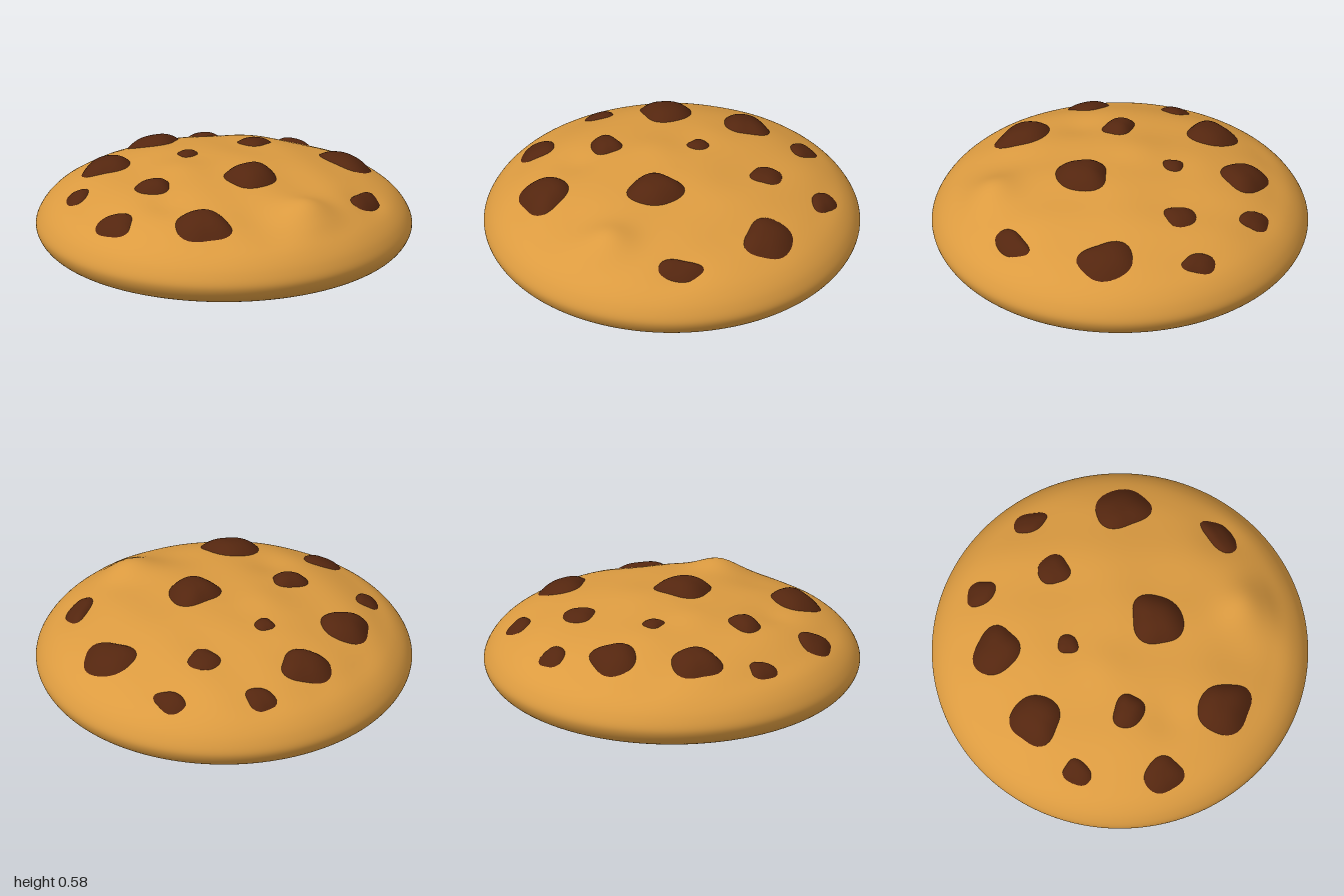
import * as THREE from 'three';
import { mergeVertices } from 'three/addons/utils/BufferGeometryUtils.js';

// Half outline of the dough, from the underside centre round the rim to the top
const outline = new THREE.CatmullRomCurve3([
  [0, 0.06], [0.4, 0.06], [0.76, 0.06], [0.9, 0.088], [0.97, 0.135], [1, 0.2], [0.975, 0.27],
  [0.91, 0.34], [0.8, 0.4], [0.68, 0.445], [0.5, 0.485], [0.25, 0.515], [0, 0.522],
].map(([x, y]) => new THREE.Vector3(x, y, 0)), false, 'centripetal').getPoints(110)
  .map((p) => new THREE.Vector2(Math.max(p.x, 0), p.y));

// Chips: x, z, half width, half depth, height, tilt of the outline
const chips = [
  [-0.28, -0.73, 0.085, 0.07, 0.03, 0.2],
  [0.2, -0.79, 0.095, 0.062, 0.03, 0.5],
  [-0.49, -0.45, 0.135, 0.118, 0.05, -0.3],
  [0.05, -0.5, 0.088, 0.088, 0.03, 0.4],
  [0.565, -0.455, 0.15, 0.122, 0.045, 0.6],
  [-0.655, -0.04, 0.128, 0.134, 0.055, 0.3],
  [-0.235, -0.165, 0.055, 0.06, 0.025, 0],
  [0.175, 0.11, 0.132, 0.146, 0.062, 0.2],
  [0.78, 0.04, 0.065, 0.122, 0.035, 0.15],
  [-0.73, 0.31, 0.062, 0.08, 0.03, -0.2],
  [-0.315, 0.32, 0.095, 0.08, 0.045, -0.2],
  [-0.445, 0.67, 0.108, 0.088, 0.035, 0.5],
  [0.04, 0.69, 0.152, 0.126, 0.055, 0.15],
];

// Mounds and hollows in the top: x, z, radius, height
const lumps = [
  [0.57, 0.4, 0.2, 0.065], [0.3, 0.55, 0.22, -0.015], [-0.2, 0.5, 0.16, -0.015],
  [0.17, -0.15, 0.25, 0.012], [-0.2, 0.05, 0.2, 0.014], [-0.35, -0.25, 0.2, 0.012], [0.78, 0.04, 0.15, -0.012],
];

function lumpiness(x, z) {
  let d = 0.004 * Math.sin(9 * x + 2) * Math.cos(8 * z) + 0.003 * Math.sin(14 * x - 11 * z);
  for (const [lx, lz, r, h] of lumps) d += h * Math.exp(-2 * ((x - lx) ** 2 + (z - lz) ** 2) / (r * r));
  return d * (1 - THREE.MathUtils.smoothstep(Math.hypot(x, z), 0.8, 0.97));
}

// Height of the dough's upper surface
function topHeight(x, z) {
  const r = Math.hypot(x, z);
  for (let i = outline.length - 1; i > 0; i--) {
    const a = outline[i], b = outline[i - 1];
    if (r <= b.x) return THREE.MathUtils.mapLinear(r, a.x, b.x, a.y, b.y) + lumpiness(x, z);
  }
  return 0.2;
}

// A round patch: place(angle, t) gives a point, t running from centre 0 to edge 1
function patch(place, rings, segments, faceDown = false) {
  const pos = [...place(0, 0)], index = [];
  const at = (r, s) => (r === 0 ? 0 : 1 + (r - 1) * segments + (s % segments));
  const face = (a, b, c) => index.push(...(faceDown ? [a, c, b] : [a, b, c]));
  for (let r = 1; r <= rings; r++) {
    for (let s = 0; s < segments; s++) {
      pos.push(...place((s / segments) * Math.PI * 2, r / rings));
      face(at(r - 1, s), at(r, s + 1), at(r, s));
      if (r > 1) face(at(r - 1, s), at(r - 1, s + 1), at(r, s + 1));
    }
  }
  const g = new THREE.BufferGeometry();
  g.setAttribute('position', new THREE.Float32BufferAttribute(pos, 3));
  g.setIndex(index);
  g.computeVertexNormals();
  return g;
}

function doughGeometry() {
  let g = new THREE.LatheGeometry(outline, 128);
  const p = g.attributes.position;
  for (let i = 0; i < p.count; i++) {
    if (p.getY(i) > 0.2) p.setY(i, p.getY(i) + lumpiness(p.getX(i), p.getZ(i)));
  }
  g.deleteAttribute('uv');
  g.deleteAttribute('normal');
  g = mergeVertices(g, 1e-5);
  g.computeVertexNormals();
  return g;
}

// Domed chip that follows the dough and dips under it at the edge
function chipGeometry([cx, cz, w, d, h, tilt], i) {
  return patch((a, t) => {
    const r = t * 1.06 * (1 + 0.06 * Math.sin(3 * a + i * 1.7) + 0.04 * Math.cos(4 * a + i));
    const u = w * r * Math.cos(a), v = d * r * Math.sin(a);
    const x = cx + u * Math.cos(tilt) - v * Math.sin(tilt);
    const z = cz + u * Math.sin(tilt) + v * Math.cos(tilt);
    return [x, topHeight(x, z) + h * 1.12 * (1 - t ** 2.6) - 0.007, z];
  }, 10, 36);
}

// Rounded square under the dough, with a raised flat middle it stands on
function baseGeometry() {
  return patch((a, t) => {
    const c = Math.cos(a), s = Math.sin(a), n = 3.8;
    const square = (Math.abs(c / 0.68) ** n + Math.abs(s / 0.63) ** n) ** (-1 / n);
    const r = t * THREE.MathUtils.lerp(0.68, square, t * t);
    const u = r * c, v = r * s;
    let y = 0.05 * THREE.MathUtils.smoothstep(r, 0.36, 0.53);
    if (t === 1) y = 0.062;
    return [(u - v) * Math.SQRT1_2, y, (u + v) * Math.SQRT1_2];
  }, 32, 96, true);
}

export function createModel() {
  const dough = new THREE.MeshStandardMaterial({ color: 0xdc9b40 });
  dough.name = 'golden dough';
  const chocolate = new THREE.MeshStandardMaterial({ color: 0x54260f });
  chocolate.name = 'dark chocolate';

  const model = new THREE.Group();
  model.name = 'cookie';
  const add = (name, geometry, material, parent = model) => {
    const mesh = new THREE.Mesh(geometry, material);
    mesh.name = name;
    parent.add(mesh);
  };
  add('dough', doughGeometry(), dough);
  add('chocolateBase', baseGeometry(), chocolate);

  const chipGroup = new THREE.Group();
  chipGroup.name = 'chocolateChips';
  chips.forEach((c, i) => add(`chip${i + 1}`, chipGeometry(c, i), chocolate, chipGroup));
  model.add(chipGroup);
  return model;
}
